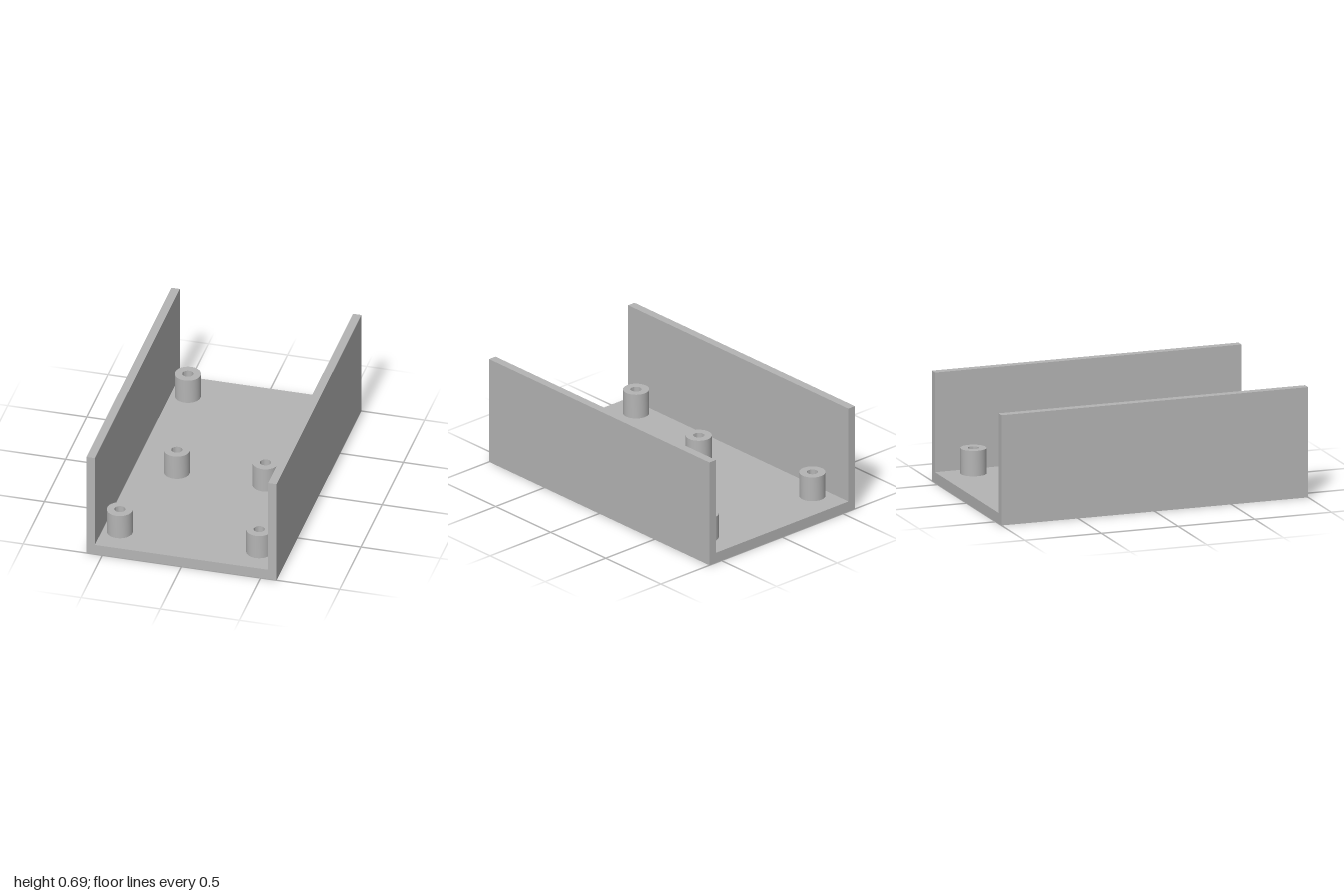
import * as THREE from 'three';
import { toCreasedNormals } from 'three/addons/utils/BufferGeometryUtils.js';

const HALF_W = 0.6, LENGTH = 2, HEIGHT = 0.693, WALL = 0.053, FLOOR = 0.067;
const POST_TOP = 0.227, POST_R = 0.08, HOLE_R = 0.034;

export function createModel() {
  const model = new THREE.Group();
  model.name = 'openTray';
  const grey = new THREE.MeshStandardMaterial({ name: 'plainGrey', color: 0xb4b4b4 });

  // U-shaped channel: floor and two side walls, open at both ends
  const inner = HALF_W - WALL;
  const profile = new THREE.Shape([
    [-HALF_W, 0], [HALF_W, 0], [HALF_W, HEIGHT], [inner, HEIGHT],
    [inner, FLOOR], [-inner, FLOOR], [-inner, HEIGHT], [-HALF_W, HEIGHT],
  ].map(([x, y]) => new THREE.Vector2(x, y)));
  const channelGeometry = new THREE.ExtrudeGeometry(profile, { depth: LENGTH, bevelEnabled: false });
  channelGeometry.translate(0, 0, -LENGTH / 2);
  const channel = new THREE.Mesh(channelGeometry, grey);
  channel.name = 'channel';
  model.add(channel);

  // Hollow mounting post, its bore reaching down to the floor
  const postProfile = [
    [POST_R, FLOOR], [POST_R, POST_TOP], [HOLE_R, POST_TOP], [HOLE_R, FLOOR],
  ].map(([r, y]) => new THREE.Vector2(r, y));
  const postGeometry = toCreasedNormals(new THREE.LatheGeometry(postProfile, 48), Math.PI / 6);

  // Three mirrored pairs of posts: back, middle and front
  const pairs = [['back', 0.44, -0.79], ['middle', 0.28, 0.065], ['front', 0.44, 0.81]];
  for (const [row, x, z] of pairs) {
    for (const side of [-1, 1]) {
      const post = new THREE.Mesh(postGeometry, grey);
      post.name = `${row}${side > 0 ? 'Left' : 'Right'}Post`;
      post.position.set(side * x, 0, z);
      model.add(post);
    }
  }
  return model;
}
